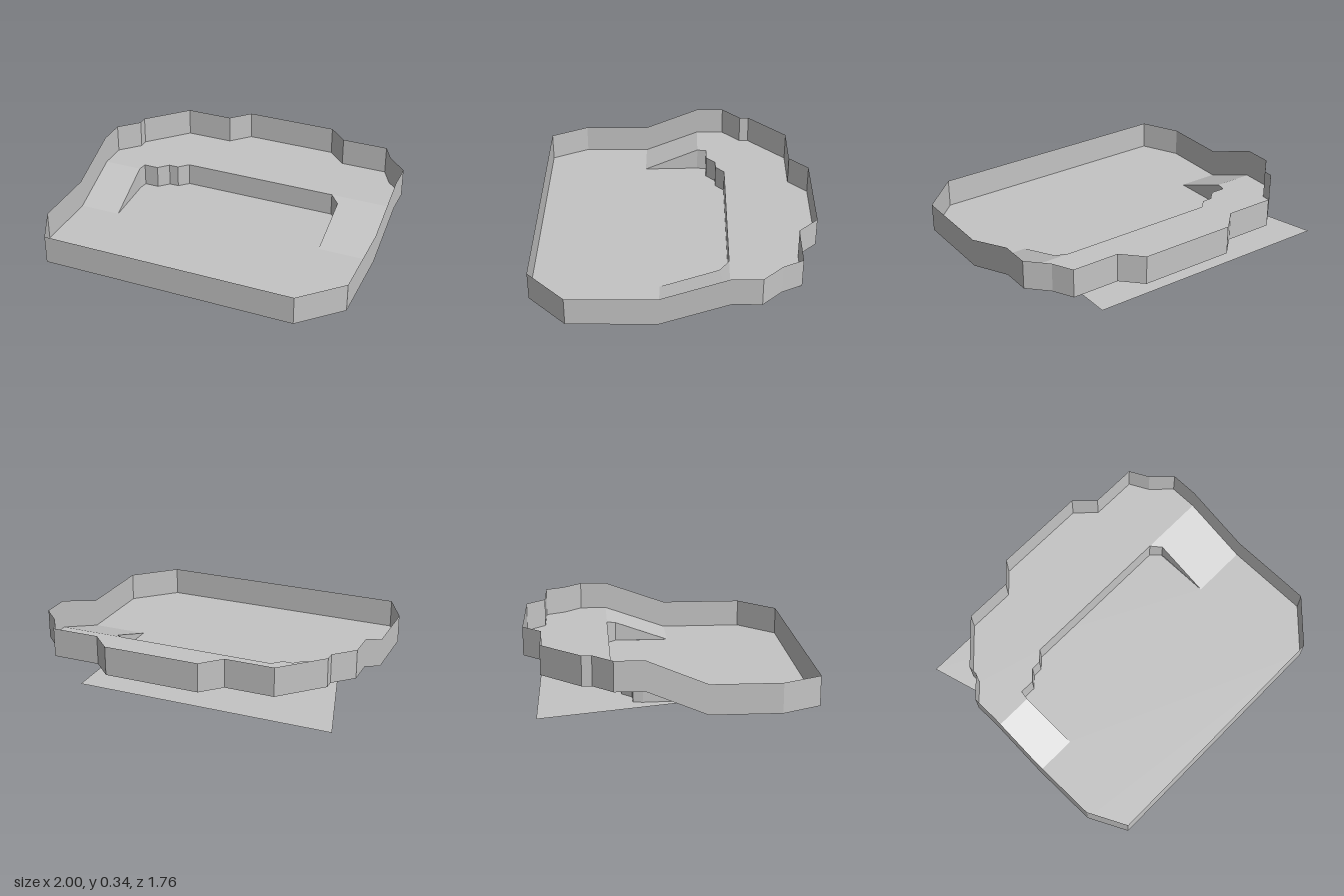
import * as THREE from 'three';

const UP = 0.15;     // height of the upper floor
const WALL = 0.185;  // height of the outer wall above the floor it follows

// Points are [x, z, floor height].
// Outer edge, starting at the foot of the left (+x) ramp and going round the front.
const lowerEdge = [
  [1, 0.09, 0], [1, 0.64, 0], [0.755, 0.88, 0],
  [-0.88, 0.88, 0], [-1, 0.64, 0], [-1, 0.21, 0],
];
const upperEdge = [
  [-1, -0.155, UP], [-1, -0.335, UP], [-0.88, -0.455, UP], [-0.88, -0.515, UP],
  [-0.64, -0.76, UP], [-0.33, -0.76, UP], [-0.212, -0.88, UP], [0.392, -0.88, UP],
  [0.512, -0.76, UP], [0.815, -0.76, UP], [0.88, -0.635, UP], [1, -0.515, UP], [1, -0.335, UP],
];
// Step between the two floors, running from the left ramp to the right ramp.
const leftFoot = [0.638, 0.09, 0];
const leftBend = [0.638, -0.275, UP * 0.86];
const rightFoot = [-0.73, 0.21, 0];
const stepTop = [
  [0.578, -0.335, UP], [-0.455, -0.335, UP], [-0.515, -0.277, UP], [-0.578, -0.277, UP],
  [-0.64, -0.215, UP], [-0.735, -0.215, UP], [-0.745, -0.155, UP],
];

// Flat panel through a loop of points
function panel(points) {
  const outline = points.map(([x, z]) => new THREE.Vector2(x, -z));
  const ccw = THREE.ShapeUtils.area(outline) > 0;
  const loop = ccw ? points : [...points].reverse();
  if (!ccw) outline.reverse();
  const geo = new THREE.BufferGeometry();
  geo.setAttribute('position', new THREE.Float32BufferAttribute(loop.flatMap(([x, z, y]) => [x, y, z]), 3));
  geo.setIndex(THREE.ShapeUtils.triangulateShape(outline, []).flat());
  return finish(geo);
}

// Thin upright wall along a path, with its bottom and top given per point
function ribbon(path, bottom, top) {
  const pos = [], index = [];
  path.forEach((p, i) => {
    pos.push(p[0], bottom(p), p[1], p[0], top(p), p[1]);
    const a = i * 2;
    if (i < path.length - 1) index.push(a, a + 1, a + 2, a + 1, a + 3, a + 2);
  });
  const geo = new THREE.BufferGeometry();
  geo.setAttribute('position', new THREE.Float32BufferAttribute(pos, 3));
  geo.setIndex(index);
  return finish(geo);
}

// Separate the faces so every edge is sharp
function finish(geo) {
  const flat = geo.toNonIndexed();
  flat.computeVertexNormals();
  return flat;
}

export function createModel() {
  const group = new THREE.Group();
  const grey = new THREE.MeshStandardMaterial({ color: 0xc4c4c4, side: THREE.DoubleSide });
  grey.name = 'grey';
  const add = (name, geo) => {
    const mesh = new THREE.Mesh(geo, grey);
    mesh.name = name;
    group.add(mesh);
  };

  // Lower floor, continuing under the upper one and out at the back
  add('lowerFloor', panel([...lowerEdge, rightFoot, [-1, -0.775, 0], [0.632, -0.775, 0], leftFoot]));

  // Upper floor
  add('upperFloor', panel([...upperEdge, ...stepTop]));

  // Ramps joining the floors
  add('leftRamp', panel([[1, 0.09, 0], leftFoot, leftBend, stepTop[0], [1, -0.335, UP]]));
  add('rightRamp', panel([[-1, 0.21, 0], rightFoot, stepTop[stepTop.length - 1], [-1, -0.155, UP]]));

  // Step face between the floors, including the sides of the ramps
  add('stepWall', ribbon([leftFoot, leftBend, ...stepTop, rightFoot], () => 0, (p) => p[2]));

  // Outer wall all the way round
  add('outerWall', ribbon([...lowerEdge, ...upperEdge, lowerEdge[0]], (p) => p[2], (p) => p[2] + WALL));

  return group;
}
